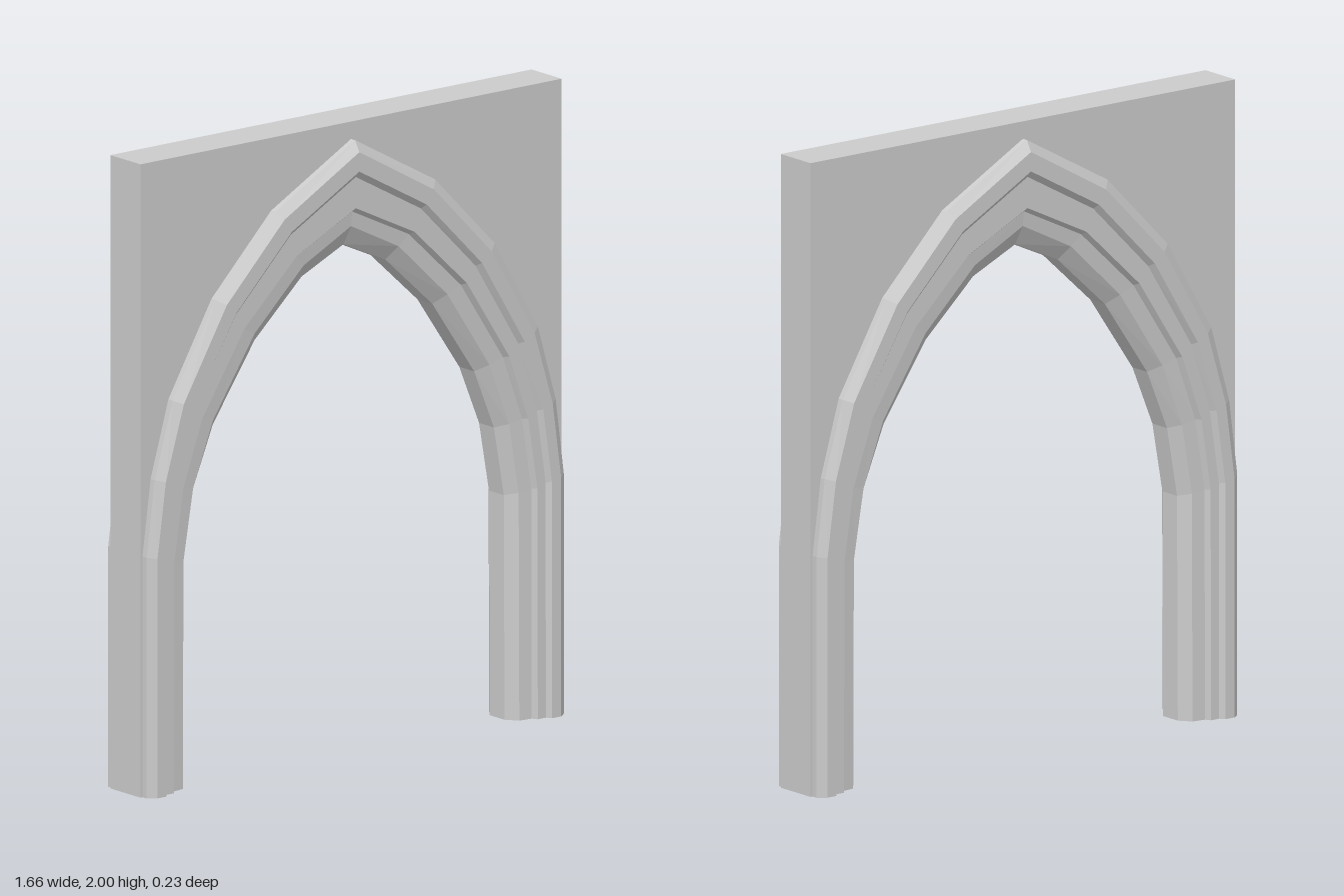
import * as THREE from 'three';

// Right half of the arch, base to apex: [outer x, outer y, inner x, inner y]
const HALF = [
  [0.822, 0, 0.635, 0],
  [0.822, 0.76, 0.632, 0.71],
  [0.79, 1.0, 0.593, 0.93],
  [0.72, 1.24, 0.515, 1.12],
  [0.55, 1.53, 0.35, 1.36],
  [0.315, 1.77, 0.165, 1.53],
  [0, 1.945, 0, 1.605],
];
const STATIONS = [...HALF, ...HALF.slice(0, -1).reverse().map(([a, b, c, d]) => [-a, b, -c, d])];

// Stepped moulding, outer to inner: [fraction across at the jambs, fraction across at the apex, z]
const FRONT = [
  [0, 0, 0.073],
  [0, 0, 0.093],
  [0.14, 0.1, 0.113],
  [0.33, 0.28, 0.113],
  [0.39, 0.34, 0.096],
  [0.56, 0.63, 0.096],
  [0.61, 0.67, 0.078],
  [0.85, 0.81, 0.073],
  [1, 1, 0.036],
];
const SECTION = [...FRONT, ...FRONT.slice().reverse().map(([u, v, z]) => [u, v, -z])];

function point([ox, oy, ix, iy], [u, v, z]) {
  return [ox + (ix - ox) * u, oy + (iy - oy) * v, z];
}

// Sweeps the section along the arch, with flat feet
function mouldingGeometry() {
  const rings = STATIONS.map((st) => SECTION.map((p) => point(st, p)));
  const pos = [];
  const quad = (a, b, c, d) => pos.push(...a, ...b, ...c, ...a, ...c, ...d);
  for (let s = 0; s < rings.length - 1; s++) {
    for (let i = 0; i < SECTION.length - 1; i++) {
      quad(rings[s][i], rings[s + 1][i], rings[s + 1][i + 1], rings[s][i + 1]);
    }
  }
  const first = rings[0], last = rings[rings.length - 1], n = SECTION.length - 1;
  for (let i = 1; i < FRONT.length - 1; i++) {
    quad(first[i], first[i + 1], first[n - i - 1], first[n - i]);
    quad(last[n - i], last[n - i - 1], last[i + 1], last[i]);
  }
  const g = new THREE.BufferGeometry();
  g.setAttribute('position', new THREE.Float32BufferAttribute(pos, 3));
  g.computeVertexNormals();
  return g;
}

// Rectangular slab with the pointed opening cut from its lower edge
function wallGeometry() {
  const W = 0.83, D = 0.146;
  const shape = new THREE.Shape();
  shape.moveTo(W, 0);
  shape.lineTo(W, 2);
  shape.lineTo(-W, 2);
  shape.lineTo(-W, 0);
  for (const [x, y] of STATIONS.slice().reverse()) shape.lineTo(x, y);
  shape.closePath();
  const g = new THREE.ExtrudeGeometry(shape, { depth: D, bevelEnabled: false });
  g.translate(0, 0, -D / 2);
  return g;
}

export function createModel() {
  const group = new THREE.Group();
  group.name = 'pointedArchway';
  const stone = new THREE.MeshStandardMaterial({ color: 0xcccccc, flatShading: true });
  const add = (name, geometry) => {
    const mesh = new THREE.Mesh(geometry, stone);
    mesh.name = name;
    group.add(mesh);
  };
  add('wall', wallGeometry());
  add('archMoulding', mouldingGeometry());
  return group;
}
